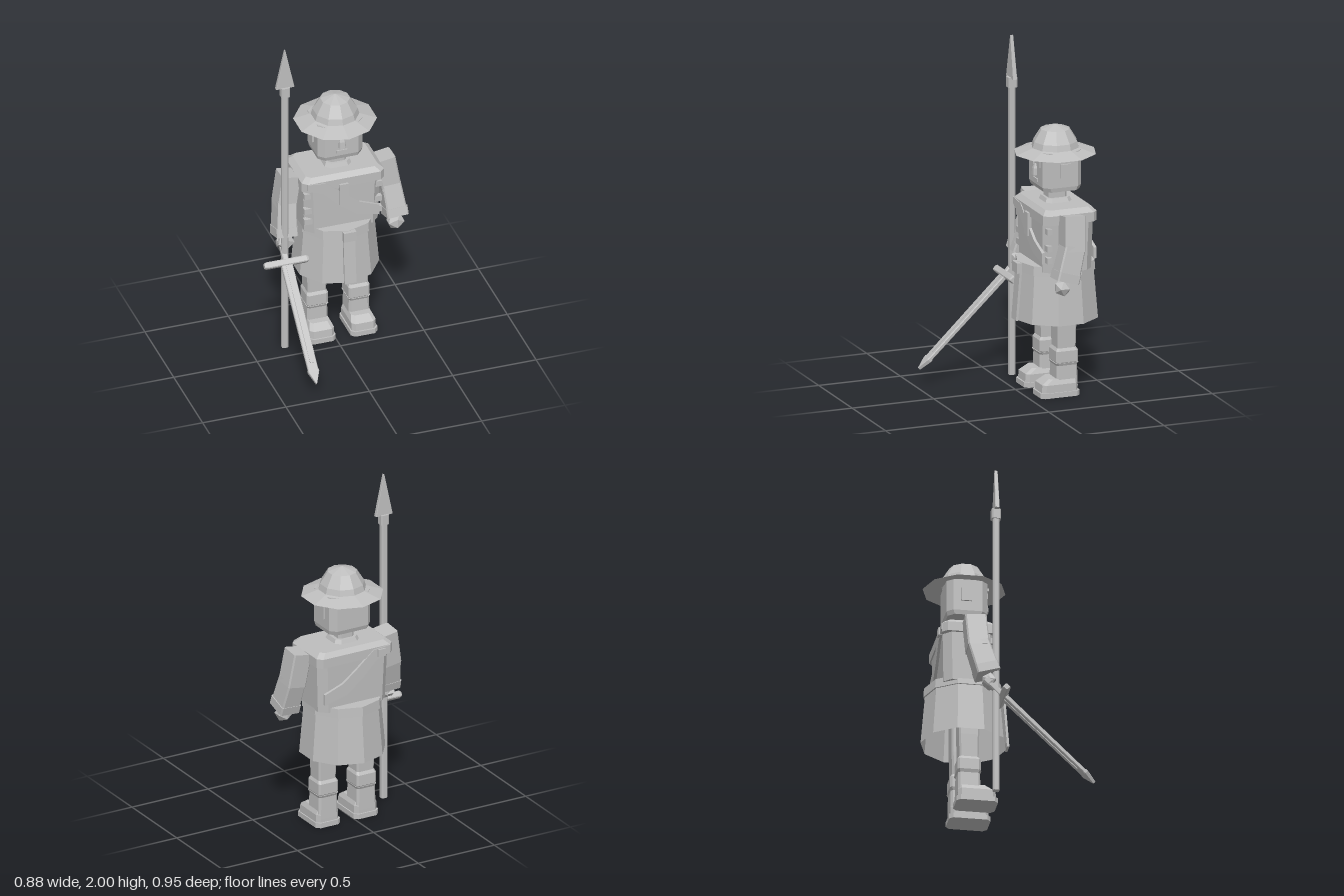
import * as THREE from 'three';

const stone = new THREE.MeshStandardMaterial({ color: 0xbebebe, side: THREE.DoubleSide, flatShading: true });
stone.name = 'stoneGrey';

function add(parent, name, geo, x = 0, y = 0, z = 0) {
  const m = new THREE.Mesh(geo, stone);
  m.name = name;
  m.position.set(x, y, z);
  parent.add(m);
  return m;
}

function group(parent, name, x = 0, y = 0, z = 0) {
  const g = new THREE.Group();
  g.name = name;
  g.position.set(x, y, z);
  parent.add(g);
  return g;
}

const box = (w, h, d) => new THREE.BoxGeometry(w, h, d);

// Stacked rectangles with cut corners: [y, halfX, halfZ, cut, zOffset]
function loft(levels) {
  const rings = levels.map(([y, a, b, c, o = 0]) => [
    [a - c, b], [a, b - c], [a, c - b], [a - c, -b],
    [c - a, -b], [-a, c - b], [-a, b - c], [c - a, b],
  ].map(([x, z]) => [x, y, z + o]));
  const pos = [];
  const tri = (...p) => p.forEach(v => pos.push(...v));
  for (let k = 0; k < rings.length - 1; k++) {
    for (let i = 0; i < 8; i++) {
      const j = (i + 1) % 8, lo = rings[k], hi = rings[k + 1];
      tri(lo[i], lo[j], hi[j]);
      tri(lo[i], hi[j], hi[i]);
    }
  }
  const bottom = rings[0], top = rings[rings.length - 1];
  for (let i = 1; i < 7; i++) {
    tri(bottom[0], bottom[i + 1], bottom[i]);
    tri(top[0], top[i], top[i + 1]);
  }
  const g = new THREE.BufferGeometry();
  g.setAttribute('position', new THREE.Float32BufferAttribute(pos, 3));
  g.computeVertexNormals();
  return g;
}

// Block running from one point down to another
function limb(parent, name, from, to, hx, hz, flare = 0) {
  const a = new THREE.Vector3(...from), b = new THREE.Vector3(...to);
  const len = a.distanceTo(b);
  const m = add(parent, name, loft([[0, hx + flare, hz + flare, 0.008], [len, hx, hz, 0.008]]), ...to);
  m.quaternion.setFromUnitVectors(new THREE.Vector3(0, 1, 0), a.sub(b).normalize());
  return m;
}

function addHead(body) {
  const head = group(body, 'head');
  add(head, 'collar', loft([[1.1, 0.085, 0.085, 0.03], [1.135, 0.07, 0.07, 0.025]]));
  add(head, 'neck', loft([[1.11, 0.052, 0.055, 0.015], [1.2, 0.052, 0.055, 0.015]]));
  add(head, 'skull', loft([[1.19, 0.13, 0.11, 0.035], [1.215, 0.135, 0.118, 0.035], [1.42, 0.135, 0.118, 0.035]]));
  // Face
  for (const s of [-1, 1]) {
    add(head, 'eyebrow', box(0.065, 0.016, 0.02), s * 0.046, 1.378, 0.12);
    add(head, 'eye', box(0.046, 0.034, 0.014), s * 0.046, 1.343, 0.118);
    add(head, 'ear', box(0.02, 0.08, 0.062), s * 0.136, 1.313, -0.008);
  }
  add(head, 'nose', loft([[1.27, 0.02, 0.022, 0.006], [1.31, 0.018, 0.018, 0.006], [1.335, 0.008, 0.008, 0.003]]), 0, 0, 0.118);
  add(head, 'mouth', box(0.065, 0.018, 0.014), 0, 1.243, 0.118);
  // Brimmed helmet
  const outline = [[0.238, 1.392], [0.138, 1.425], [0.128, 1.46], [0.085, 1.53], [0, 1.557]];
  add(head, 'helmet', new THREE.LatheGeometry(outline.map(p => new THREE.Vector2(...p)), 10));
  add(head, 'brimUnderside', new THREE.CylinderGeometry(0.13, 0.236, 0.018, 10, 1, true), 0, 1.4, 0);
}

function addTorso(body) {
  const torso = group(body, 'torso');
  add(torso, 'chest', loft([[0.74, 0.22, 0.148, 0.045], [1.06, 0.232, 0.155, 0.045]]));
  add(torso, 'shoulderYoke', loft([[1.03, 0.247, 0.163, 0.028], [1.085, 0.247, 0.163, 0.028], [1.112, 0.215, 0.138, 0.025]]));
  add(torso, 'chestTab', box(0.052, 0.135, 0.03), -0.005, 0.985, 0.162);
  for (const s of [-1, 1]) {
    for (const y of [0.82, 0.89, 0.99]) add(torso, 'sideClasp', box(0.055, 0.035, 0.03), s * 0.205, y, 0.128);
  }
  // Diagonal strap, front and back
  const upper = [[-0.22, 1.085], [-0.11, 1.075], [0, 0.98], [0.09, 0.91], [0.21, 0.865]];
  const lower = [[0.21, 0.8], [0.07, 0.835], [-0.03, 0.91], [-0.13, 1.01], [-0.22, 1.045]];
  const shape = new THREE.Shape([...upper, ...lower].map(p => new THREE.Vector2(...p)));
  const strap = new THREE.ExtrudeGeometry(shape, { depth: 0.018, bevelEnabled: false });
  add(torso, 'frontStrap', strap, 0, 0, 0.15);
  add(torso, 'backStrap', strap, 0, 0, -0.168);
  add(torso, 'strapBuckle', box(0.05, 0.045, 0.02), -0.16, 1.05, -0.168);
}

function addSkirt(body) {
  const skirt = group(body, 'skirt');
  add(skirt, 'skirtPanels', new THREE.CylinderGeometry(0.222, 0.25, 0.32, 10, 2, true), 0, 0.59, 0);
  add(skirt, 'belt', new THREE.CylinderGeometry(0.23, 0.234, 0.055, 10), 0, 0.742, 0);
  add(skirt, 'buckle', box(0.075, 0.06, 0.03), 0.005, 0.738, 0.235);
  const flap = add(skirt, 'frontFlap', box(0.07, 0.29, 0.014), 0.005, 0.575, 0.238);
  flap.rotation.x = -0.08;
}

function addLeg(body, s) {
  const leg = group(body, s > 0 ? 'leftLeg' : 'rightLeg', s * 0.125, 0, 0);
  add(leg, 'thigh', loft([[0.26, 0.055, 0.055, 0.01], [0.42, 0.06, 0.058, 0.01], [0.74, 0.06, 0.058, 0.01]]));
  add(leg, 'knee', loft([[0.19, 0.06, 0.06, 0.012], [0.2, 0.064, 0.067, 0.012], [0.265, 0.064, 0.067, 0.012], [0.282, 0.056, 0.056, 0.01]]));
  add(leg, 'bootShaft', loft([[0.05, 0.064, 0.066, 0.012], [0.18, 0.06, 0.063, 0.012], [0.195, 0.066, 0.07, 0.012]]));
  add(leg, 'foot', loft([[0.025, 0.073, 0.11, 0.02, 0.045], [0.075, 0.073, 0.108, 0.02, 0.043], [0.105, 0.06, 0.085, 0.018, 0.022]]));
  add(leg, 'sole', loft([[0, 0.08, 0.119, 0.022, 0.045], [0.03, 0.08, 0.119, 0.022, 0.045]]));
}

function addArm(body, s) {
  const arm = group(body, s > 0 ? 'leftArm' : 'rightArm');
  limb(arm, 'upperArm', [s * 0.282, 1.09, 0.012], [s * 0.315, 0.89, 0.025], 0.058, 0.062);
  limb(arm, 'forearm', [s * 0.312, 0.92, 0.022], [s * 0.33, 0.755, 0.07], 0.056, 0.062, 0.004);
  limb(arm, 'cuff', [s * 0.329, 0.775, 0.064], [s * 0.332, 0.725, 0.079], 0.064, 0.068);
  const hand = add(arm, 'hand', new THREE.IcosahedronGeometry(0.052, 0), s * 0.33, 0.687, 0.092);
  hand.scale.set(1.05, 1, 0.95);
}

function addSpear(root) {
  const spear = group(root, 'spear', -0.3, 0, -0.1);
  add(spear, 'spearShaft', loft([[0, 0.019, 0.019, 0.008], [1.72, 0.019, 0.019, 0.008]]));
  add(spear, 'spearCollar', loft([[1.695, 0.026, 0.027, 0.008], [1.755, 0.026, 0.027, 0.008]]));
  add(spear, 'spearBlade', loft([[1.75, 0.055, 0.013, 0.003], [2, 0.002, 0.009, 0.001]]));
}

function addSword(root) {
  const sword = group(root, 'sword', -0.305, 0.592, -0.06);
  sword.rotation.x = -0.81;
  add(sword, 'swordBlade', loft([[-0.65, 0.03, 0.011, 0.004], [0, 0.033, 0.013, 0.004]]));
  add(sword, 'swordTip', loft([[-0.725, 0.002, 0.009, 0.001], [-0.655, 0.032, 0.014, 0.004], [-0.64, 0.032, 0.014, 0.004]]));
  add(sword, 'bladeRidge', box(0.02, 0.58, 0.032), 0, -0.31, 0);
  const guard = add(sword, 'swordGuard', loft([[-0.132, 0.014, 0.014, 0.004], [-0.12, 0.019, 0.019, 0.005], [0.12, 0.019, 0.019, 0.005], [0.132, 0.014, 0.014, 0.004]]));
  guard.rotation.z = Math.PI / 2;
  add(sword, 'swordGrip', loft([[0, 0.017, 0.017, 0.006], [0.13, 0.017, 0.017, 0.006]]));
  add(sword, 'pommel', loft([[0.105, 0.026, 0.026, 0.008], [0.14, 0.026, 0.026, 0.008]]));
}

export function createModel() {
  const root = new THREE.Group();
  root.name = 'guard';
  const body = group(root, 'body', 0.045, 0, -0.225);
  addHead(body);
  addTorso(body);
  addSkirt(body);
  for (const s of [-1, 1]) {
    addLeg(body, s);
    addArm(body, s);
  }
  addSpear(root);
  addSword(root);
  return root;
}
